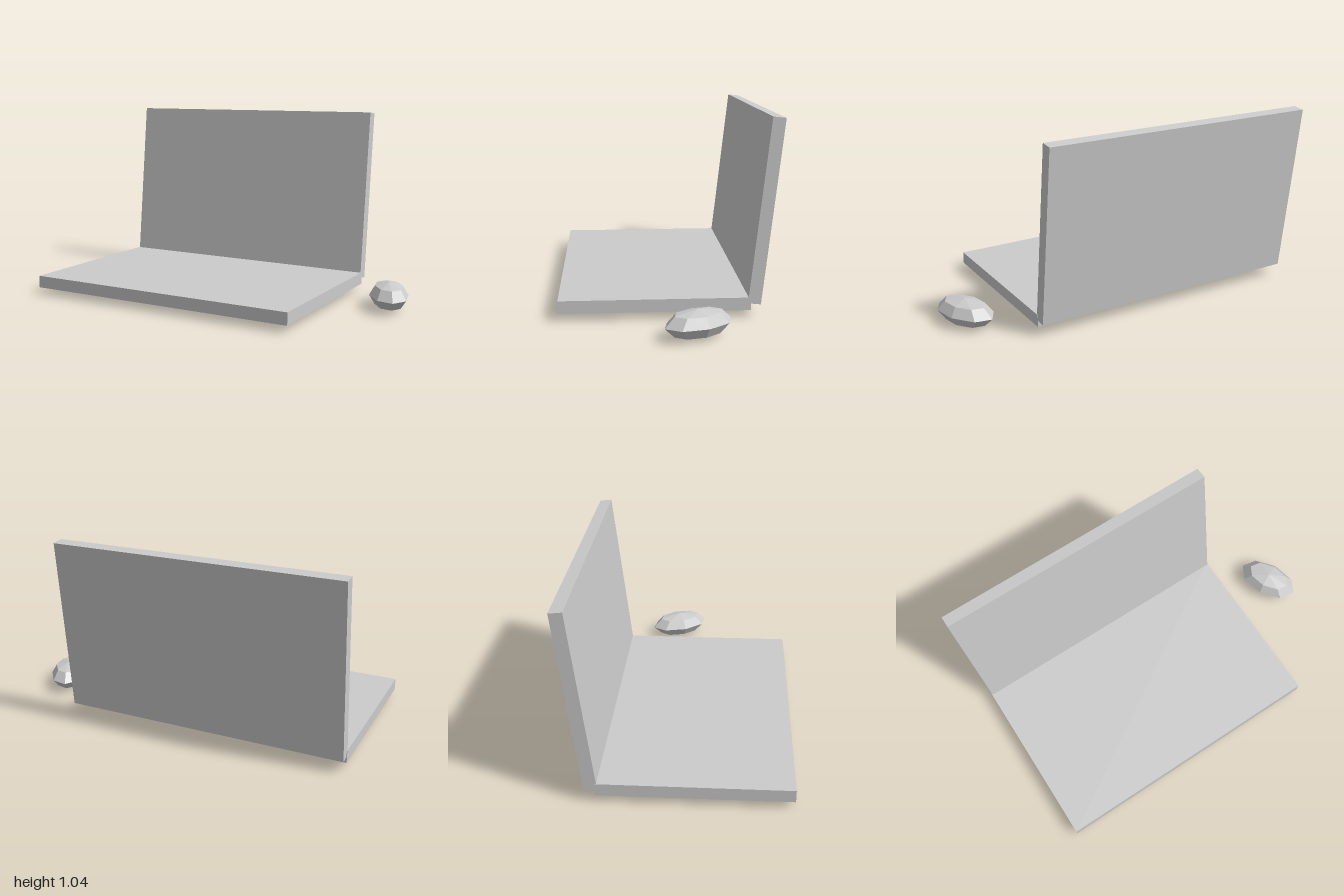
import * as THREE from 'three';

const material = new THREE.MeshStandardMaterial({ color: 0xcccccc, flatShading: true });

function addPart(group, name, geometry, x, y, z) {
  const mesh = new THREE.Mesh(geometry, material);
  mesh.name = name;
  mesh.position.set(x, y, z);
  group.add(mesh);
  return mesh;
}

export function createModel() {
  const model = new THREE.Group();
  model.name = 'laptopWithMouse';

  // Flat keyboard slab
  addPart(model, 'base', new THREE.BoxGeometry(1.6, 0.068, 1), -0.2, 0.074, 0.08);

  // Screen slab, leaning back behind the base
  const screen = addPart(model, 'screen', new THREE.BoxGeometry(1.595, 0.975, 0.068), -0.2, 0.557, -0.492);
  screen.rotation.x = -0.112;

  // Faceted mouse: a coarse sphere stretched lengthwise and turned
  const mouse = addPart(model, 'mouse', new THREE.SphereGeometry(1, 8, 4), 0.875, 0.074, -0.115);
  mouse.scale.set(0.107, 0.073, 0.187);
  mouse.rotation.y = 0.443;

  return model;
}
